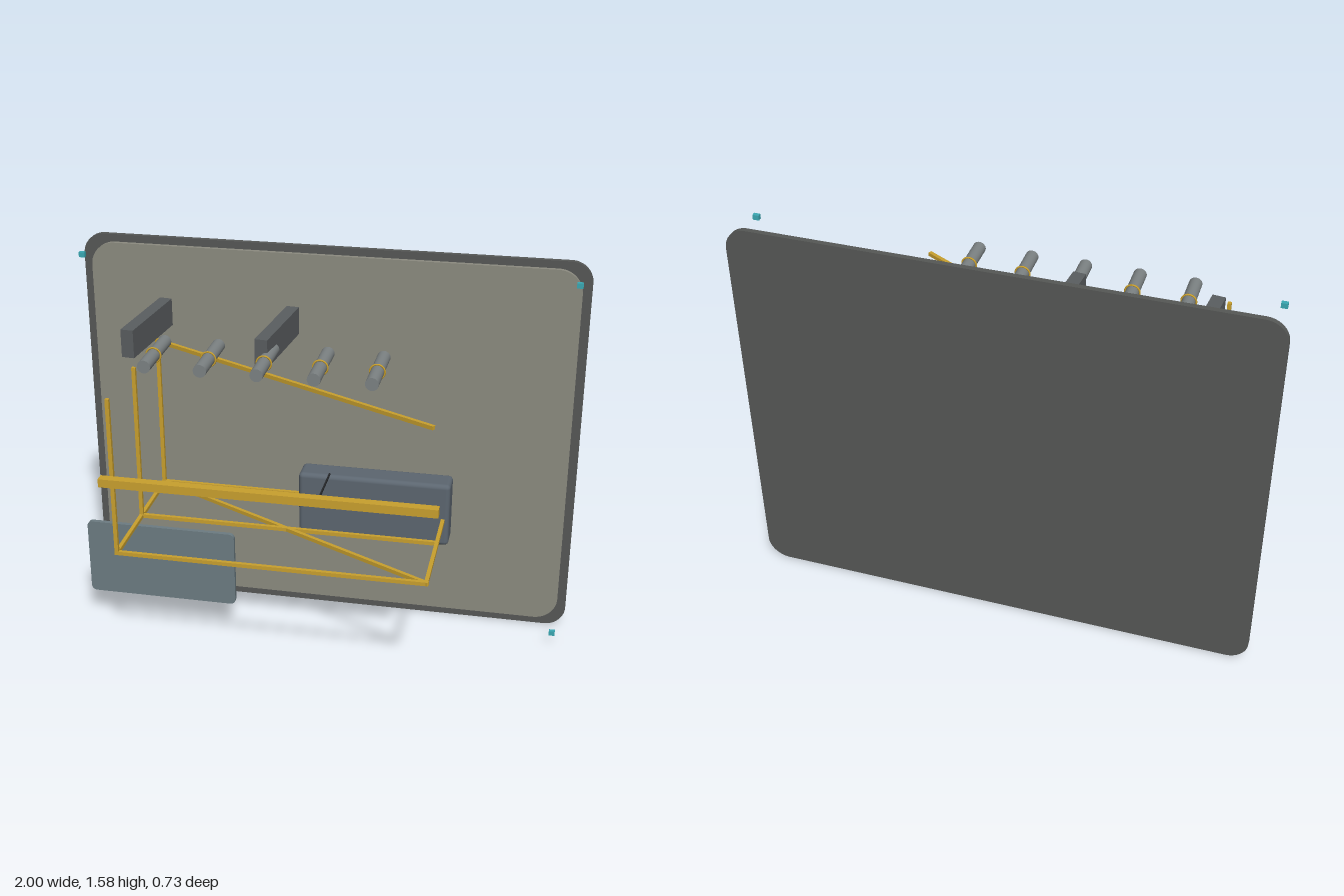
import * as THREE from 'three';
import { RoundedBoxGeometry } from 'three/addons/geometries/RoundedBoxGeometry.js';

const mat = (color) => new THREE.MeshStandardMaterial({ color });

export function createModel() {
  const model = new THREE.Group();
  const backMat = mat(0x565856), panelMat = mat(0x8c8b80), gold = mat(0xc9a02e);
  const slabMat = mat(0x6c7c82), boxMat = mat(0x5c6670), blockMat = mat(0x5a5e60);
  const tubeMat = mat(0x7c8283), dark = mat(0x242628), teal = mat(0x3aa9b4);

  const add = (name, geometry, material, x, y, z, parent = model) => {
    const mesh = new THREE.Mesh(geometry, material);
    mesh.name = name;
    mesh.position.set(x, y, z);
    parent.add(mesh);
    return mesh;
  };

  // Plate with rounded corners in the xy plane, centred on its origin
  const plate = (w, h, d, r) => {
    const s = new THREE.Shape();
    const a = w / 2 - r, b = h / 2 - r;
    s.absarc(a, b, r, 0, Math.PI / 2);
    s.absarc(-a, b, r, Math.PI / 2, Math.PI);
    s.absarc(-a, -b, r, Math.PI, Math.PI * 1.5);
    s.absarc(a, -b, r, Math.PI * 1.5, Math.PI * 2);
    s.closePath();
    return new THREE.ExtrudeGeometry(s, { depth: d, bevelEnabled: false, curveSegments: 10 })
      .translate(0, 0, -d / 2);
  };

  // Backboard and the lighter panel on it
  add('backboard', plate(2, 1.576, 0.02, 0.085), backMat, 0, 0.79, -0.353);
  add('frontPanel', plate(1.93, 1.51, 0.018, 0.095), panelMat, 0, 0.793, -0.335);

  // Corner markers
  for (const x of [-0.955, 0.955])
    for (const y of [0.05, 1.535])
      add('cornerMarker', new THREE.BoxGeometry(0.024, 0.02, 0.016), teal, x, y, -0.197);

  // Open frame of thin square bars
  const frame = new THREE.Group();
  frame.name = 'frame';
  model.add(frame);
  const T = 0.015, L = -0.705, R = 0.49, D = 0.317, LOW = 0.52, HIGH = 1.152;
  const bar = (name, a, b) => {
    const from = new THREE.Vector3(...a), to = new THREE.Vector3(...b);
    const mesh = add(name, new THREE.BoxGeometry(T, T, from.distanceTo(to) + T), gold, 0, 0, 0, frame);
    mesh.position.copy(from).lerp(to, 0.5);
    mesh.lookAt(to);
  };
  for (const z of [-D, 0, D]) {
    bar('post', [L, LOW, z], [L, HIGH, z]);
    bar('longBar', [L, LOW, z], [R, LOW, z]);
  }
  for (const x of [L, R]) bar('crossBar', [x, LOW, -D], [x, LOW, D]);
  for (const y of [LOW, HIGH]) bar('diagonal', [L, y, -D], [R, y, D]);

  // Front rail and the thin rod behind it
  add('frontRail', new THREE.BoxGeometry(1.275, 0.033, 0.036), gold, -0.108, 0.835, 0.346);
  add('thinRod', new THREE.BoxGeometry(0.006, 0.006, 0.2), dark, 0.085, 0.832, 0.208);

  // Standing slab and the low plate behind it
  add('slab', plate(0.62, 0.323, 0.018, 0.022), slabMat, -0.645, 0.287, -0.045);
  add('lowPlate', new THREE.BoxGeometry(0.18, 0.007, 0.15), dark, -0.497, 0.137, -0.222);

  // Rounded case with mounting feet at its back
  add('case', new RoundedBoxGeometry(0.615, 0.27, 0.112, 4, 0.018), boxMat, 0.207, 0.54, -0.247);
  for (const x of [-0.025, 0.207, 0.44])
    for (const y of [0.463, 0.613])
      add('mountFoot', new THREE.CylinderGeometry(0.027, 0.027, 0.025, 20), dark, x, y, -0.298);

  // Slightly turned blocks
  for (const x of [-0.678, -0.162])
    add('block', new THREE.BoxGeometry(0.05, 0.11, 0.385), blockMat, x, 1.286, -0.112).rotation.y = -0.1;

  // Row of cylinders, each with a ring at its middle
  for (let i = 0; i < 5; i++) {
    const x = -0.582 + i * 0.211;
    add('cylinder', new THREE.CylinderGeometry(0.025, 0.025, 0.273, 24).rotateX(Math.PI / 2), tubeMat, x, 1.267, 0.111);
    add('ring', new THREE.TorusGeometry(0.028, 0.0035, 8, 28), gold, x, 1.267, 0.124);
  }
  return model;
}
